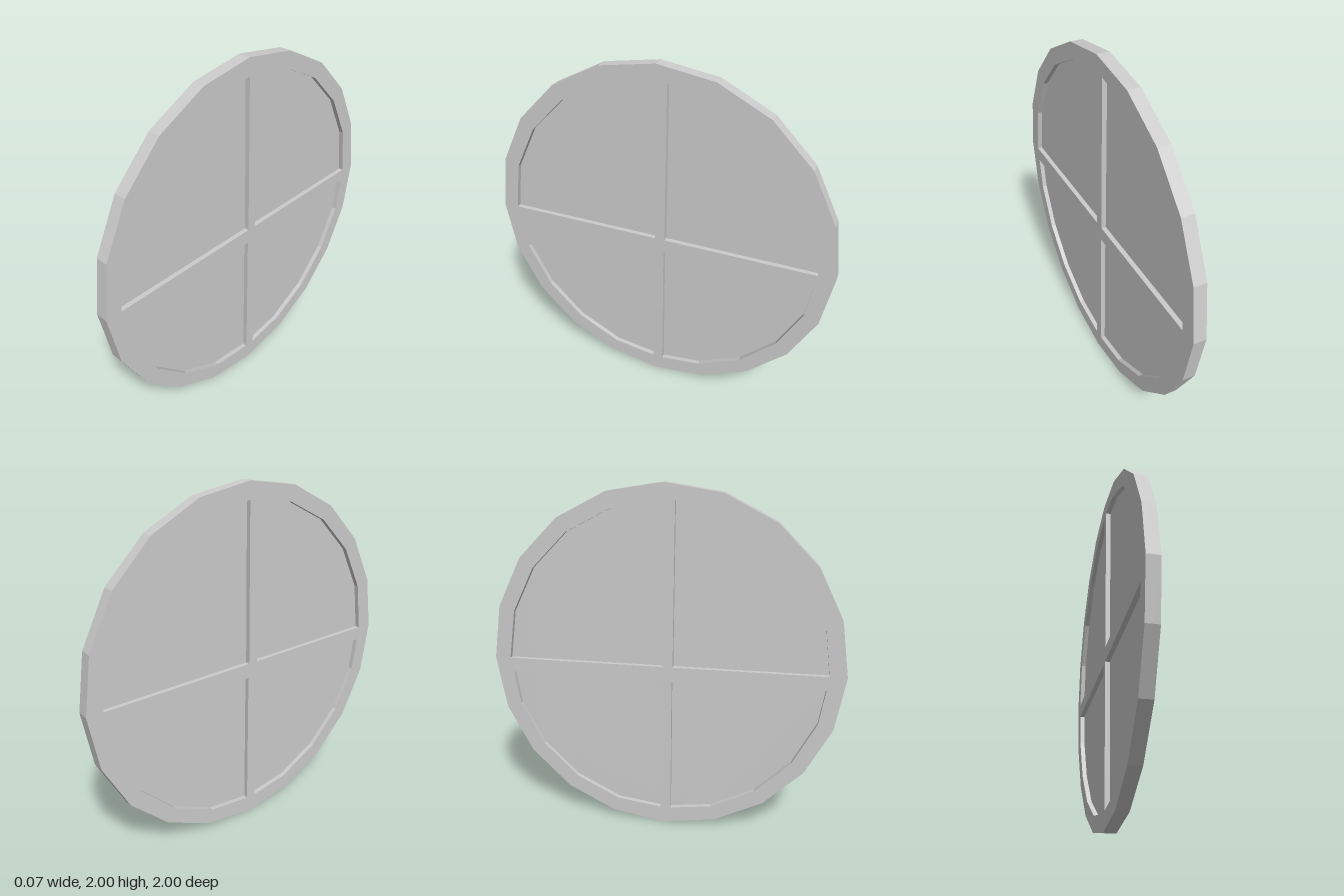
import * as THREE from 'three';

const SIDES = 20, HALF = 0.035, PANEL_HALF = 0.008, INNER = 0.91;

// Point on a circle around the disc centre, counted in 18 degree steps
function rim(r, step) {
  const a = (step / SIDES) * Math.PI * 2;
  return new THREE.Vector2(r * Math.cos(a), r * Math.sin(a));
}

// One window: rim points between two steps, closed by its bar-side corners
function pane(from, to, start, end, corner) {
  const pts = [new THREE.Vector2(...start)];
  for (let s = from; s <= to; s++) pts.push(rim(INNER, s));
  pts.push(new THREE.Vector2(...end), new THREE.Vector2(...corner));
  return new THREE.Path(pts);
}

function polygon(r) {
  return new THREE.Shape(Array.from({ length: SIDES }, (_, i) => rim(r, i)));
}

export function createModel() {
  const model = new THREE.Group();
  model.name = 'roundWindow';
  const material = new THREE.MeshStandardMaterial({ color: 0xcccccc, flatShading: true });

  // Rim and slightly off-centre cross bars, with four window openings
  const frameShape = polygon(1);
  frameShape.holes.push(
    pane(1, 4, [0.905, 0], [0.06, 0.908], [0.05, 0]),
    pane(6, 9, [0, 0.905], [-0.91, 0], [-0.005, 0]),
    pane(11, 14, [-0.895, -0.085], [-0.02, -0.9], [-0.01, -0.085]),
    pane(16, 19, [0.04, -0.9], [0.895, -0.08], [0.045, -0.085])
  );
  const frameGeo = new THREE.ExtrudeGeometry(frameShape, { depth: HALF, bevelEnabled: false });
  frameGeo.rotateY(Math.PI / 2);

  // The same frame on both faces, turned half round
  ['frameRight', 'frameLeft'].forEach((name, i) => {
    const frame = new THREE.Mesh(frameGeo, material);
    frame.name = name;
    frame.rotation.y = i * Math.PI;
    frame.position.y = 1;
    model.add(frame);
  });

  // Thin recessed panel between the two frames
  const panelGeo = new THREE.ExtrudeGeometry(polygon(0.95), { depth: PANEL_HALF * 2, bevelEnabled: false });
  panelGeo.translate(0, 0, -PANEL_HALF).rotateY(Math.PI / 2);
  const panel = new THREE.Mesh(panelGeo, material);
  panel.name = 'panel';
  panel.position.y = 1;
  model.add(panel);

  return model;
}
